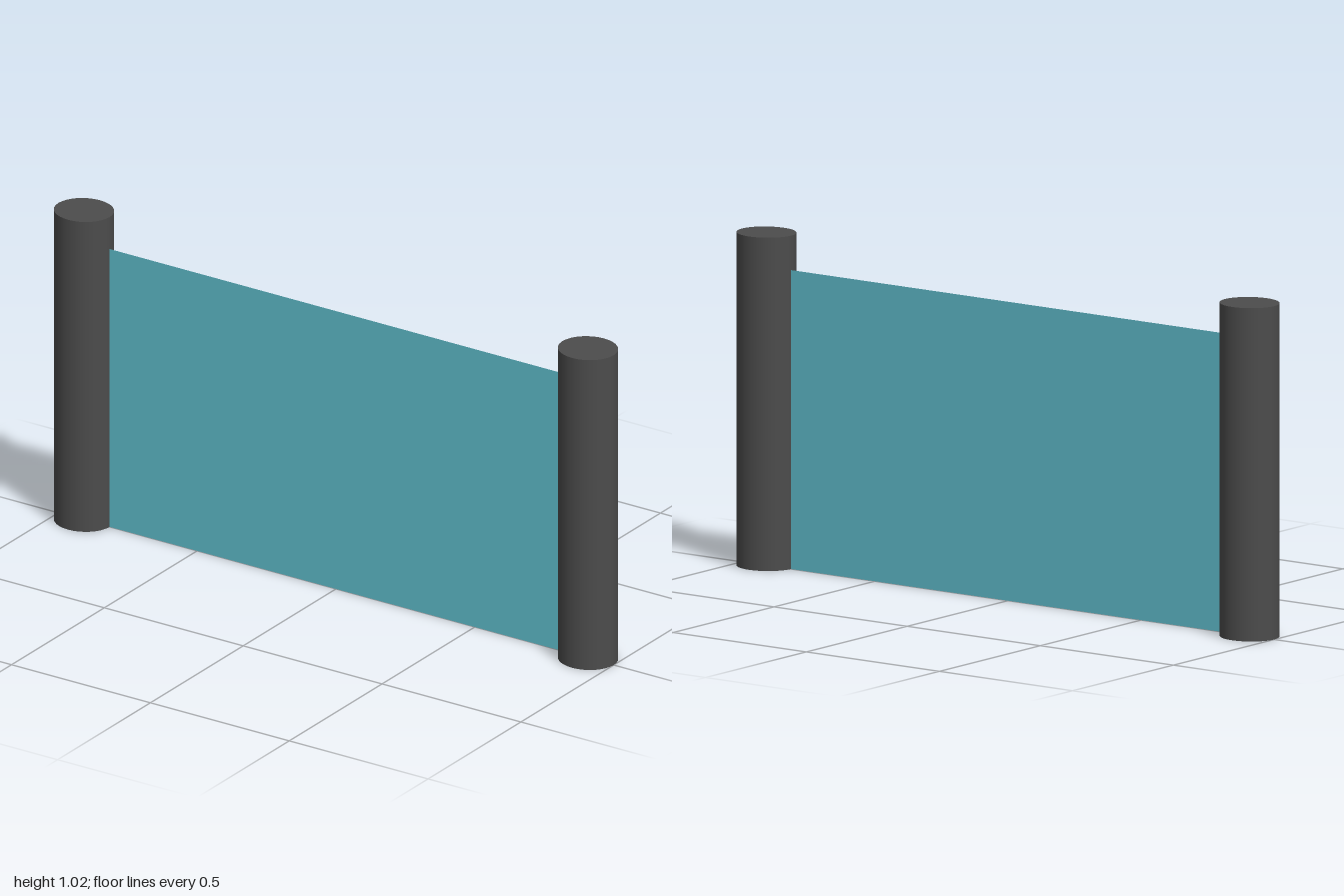
import * as THREE from 'three';

export function createModel() {
  const model = new THREE.Group();
  const postMaterial = new THREE.MeshStandardMaterial({ color: 0x4c4c4c });
  const panelMaterial = new THREE.MeshStandardMaterial({ color: 0x60bfce, side: THREE.DoubleSide });

  // Two upright posts, slightly oval in plan
  const postHeight = 1.017, radiusX = 0.0925, radiusZ = 0.086;
  const postGeometry = new THREE.CylinderGeometry(1, 1, postHeight, 32);
  postGeometry.scale(radiusX, 1, radiusZ);
  postGeometry.translate(0, postHeight / 2, 0);
  for (const [name, side] of [['leftPost', 1], ['rightPost', -1]]) {
    const post = new THREE.Mesh(postGeometry, postMaterial);
    post.name = name;
    post.position.x = side * (1 - radiusX);
    model.add(post);
  }

  // Thin sheet stretched between the posts
  const panelHeight = 0.912;
  const panel = new THREE.Mesh(new THREE.PlaneGeometry(1.64, panelHeight), panelMaterial);
  panel.name = 'panel';
  panel.position.y = panelHeight / 2;
  model.add(panel);

  return model;
}
